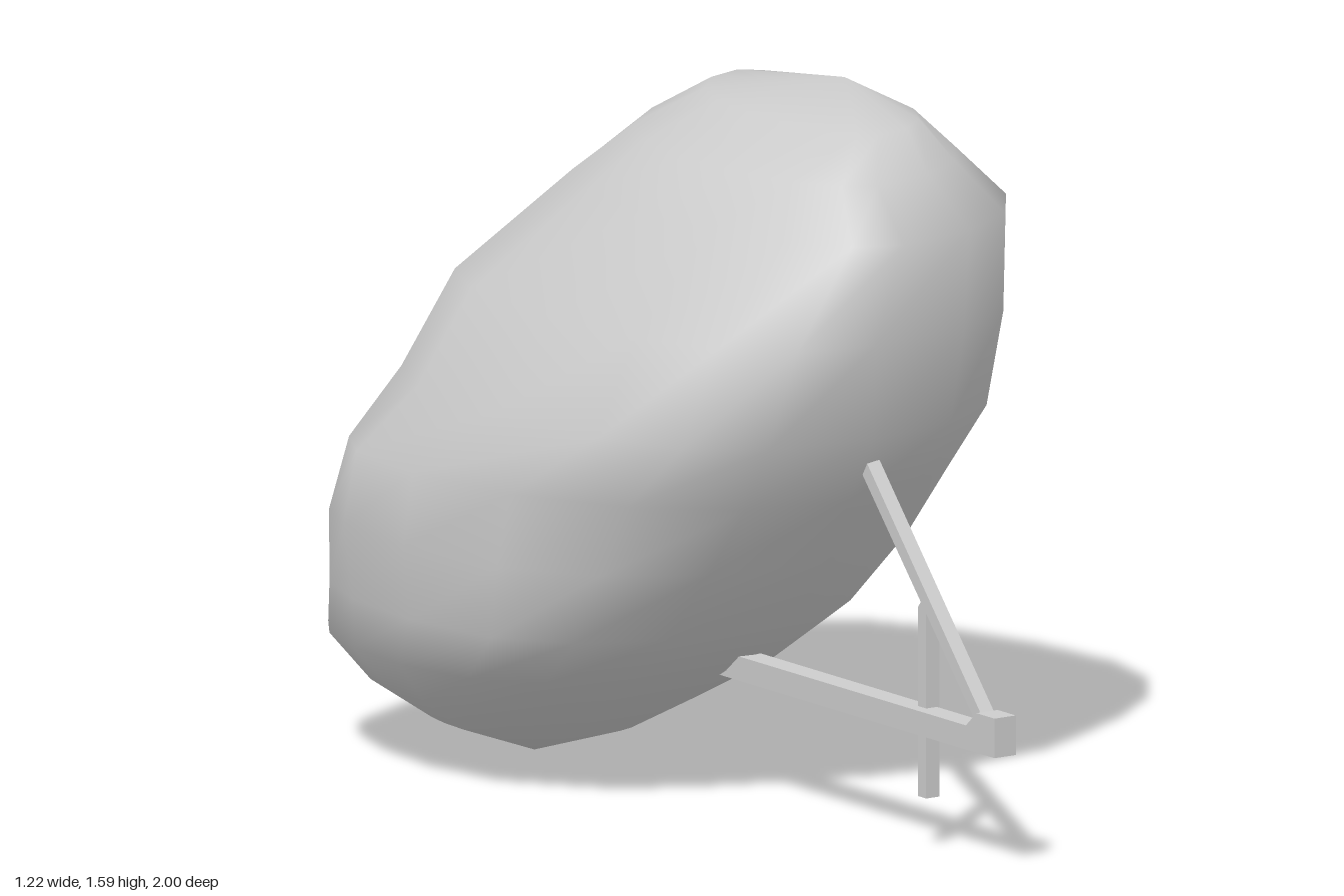
import * as THREE from 'three';

const SEG = 16;

// Boulder levels: height, xMin, xMax, zMin, zMax, then how square the corners
// are: front left, front right, back right, back left
const LEVELS = [
  [0.08, -0.31, 0.07, -0.83, -0.40, 2.0, 2.0, 2.0, 2.0],
  [0.17, -0.45, 0.16, -0.93, -0.22, 2.0, 2.2, 2.0, 2.0],
  [0.28, -0.56, 0.32, -1.00, -0.03, 1.9, 2.4, 2.1, 2.0],
  [0.40, -0.59, 0.45, -0.99, 0.12, 1.8, 2.6, 2.3, 2.1],
  [0.57, -0.61, 0.54, -0.955, 0.27, 1.8, 2.3, 2.7, 2.4],
  [0.74, -0.60, 0.565, -0.90, 0.41, 1.9, 2.0, 2.8, 2.7],
  [0.90, -0.51, 0.58, -0.87, 0.51, 2.2, 2.7, 2.8, 2.8],
  [1.12, -0.42, 0.59, -0.81, 0.54, 2.4, 2.3, 2.8, 2.5],
  [1.34, -0.21, 0.61, -0.70, 0.54, 2.0, 2.0, 2.2, 1.7],
  [1.46, -0.12, 0.48, -0.54, 0.45, 2.0, 2.0, 2.0, 1.9],
  [1.545, 0.05, 0.39, -0.40, 0.34, 2.0, 2.0, 2.0, 2.0],
];

// Lopsided rounded loops, joined from the bottom point to the top point
function boulderGeometry() {
  const { lerp } = THREE.MathUtils;
  const pos = [-0.09, 0, -0.65];
  for (const [y, x0, x1, z0, z1, ...corners] of LEVELS) {
    // where each side of the loop reaches furthest
    const xFront = lerp(x0, x1, 0.75 - 0.3 * y);
    const xBack = lerp(x0, x1, 0.15 + 0.35 * y);
    const zLeft = lerp(z0, z1, 0.6);
    const zRight = lerp(z0, z1, 0.36 + 0.6 * Math.min(0.25, Math.abs(y - 0.7)));
    for (let i = 0; i < SEG; i++) {
      const a = (i / SEG) * Math.PI * 2;
      const c = Math.cos(a), s = Math.sin(a);
      const power = corners[Math.floor((i * 4) / SEG)];
      const u = Math.pow(Math.abs(c), 2 / power);
      const v = Math.pow(Math.abs(s), 2 / power);
      const xMid = s > 0 ? xFront : xBack;
      const zMid = c > 0 ? zLeft : zRight;
      pos.push(lerp(xMid, c > 0 ? x1 : x0, u), y, lerp(zMid, s > 0 ? z1 : z0, v));
    }
  }
  const top = pos.length / 3;
  pos.push(0.33, 1.585, -0.05);

  const index = [];
  const at = (row, i) => 1 + row * SEG + (i % SEG);
  const last = LEVELS.length - 1;
  for (let i = 0; i < SEG; i++) {
    index.push(0, at(0, i), at(0, i + 1));
    for (let r = 0; r < last; r++) {
      index.push(at(r, i), at(r + 1, i), at(r, i + 1));
      index.push(at(r, i + 1), at(r + 1, i), at(r + 1, i + 1));
    }
    index.push(at(last, i), top, at(last, i + 1));
  }
  const g = new THREE.BufferGeometry();
  g.setAttribute('position', new THREE.Float32BufferAttribute(pos, 3));
  g.setIndex(index);
  g.computeVertexNormals();
  return g;
}

// Side profile given as [z, y] points, made solid between two x positions
function sideProfile(points, xMin, xMax) {
  const shape = new THREE.Shape(points.map(([z, y]) => new THREE.Vector2(z, y)));
  const g = new THREE.ExtrudeGeometry(shape, { depth: xMax - xMin, bevelEnabled: false });
  return g.rotateY(-Math.PI / 2).translate(xMax, 0, 0);
}

export function createModel() {
  const group = new THREE.Group();
  const stone = new THREE.MeshStandardMaterial({ color: 0xcccccc });
  stone.name = 'pale grey';

  const add = (name, geometry) => {
    const mesh = new THREE.Mesh(geometry, stone);
    mesh.name = name;
    group.add(mesh);
  };

  add('boulder', boulderGeometry());

  // Level bait stick with a raised, notched end
  add('baitStick', sideProfile([
    [-0.07, 0.265], [1, 0.265], [1, 0.355], [0.93, 0.355], [0.89, 0.32], [-0.07, 0.32],
  ], -0.003, 0.055));

  // Upright post with a pointed tip
  add('uprightPost', sideProfile([
    [0.664, 0.115], [0.696, 0.115], [0.696, 0.545], [0.68, 0.565], [0.664, 0.545],
  ], 0.026, 0.062));

  // Slanting stick that holds the boulder up
  add('slantingStick', sideProfile([
    [0.925, 0.325], [0.89, 0.32], [0.435, 0.825], [0.45, 0.848], [0.465, 0.84],
  ], 0.026, 0.062));

  return group;
}
